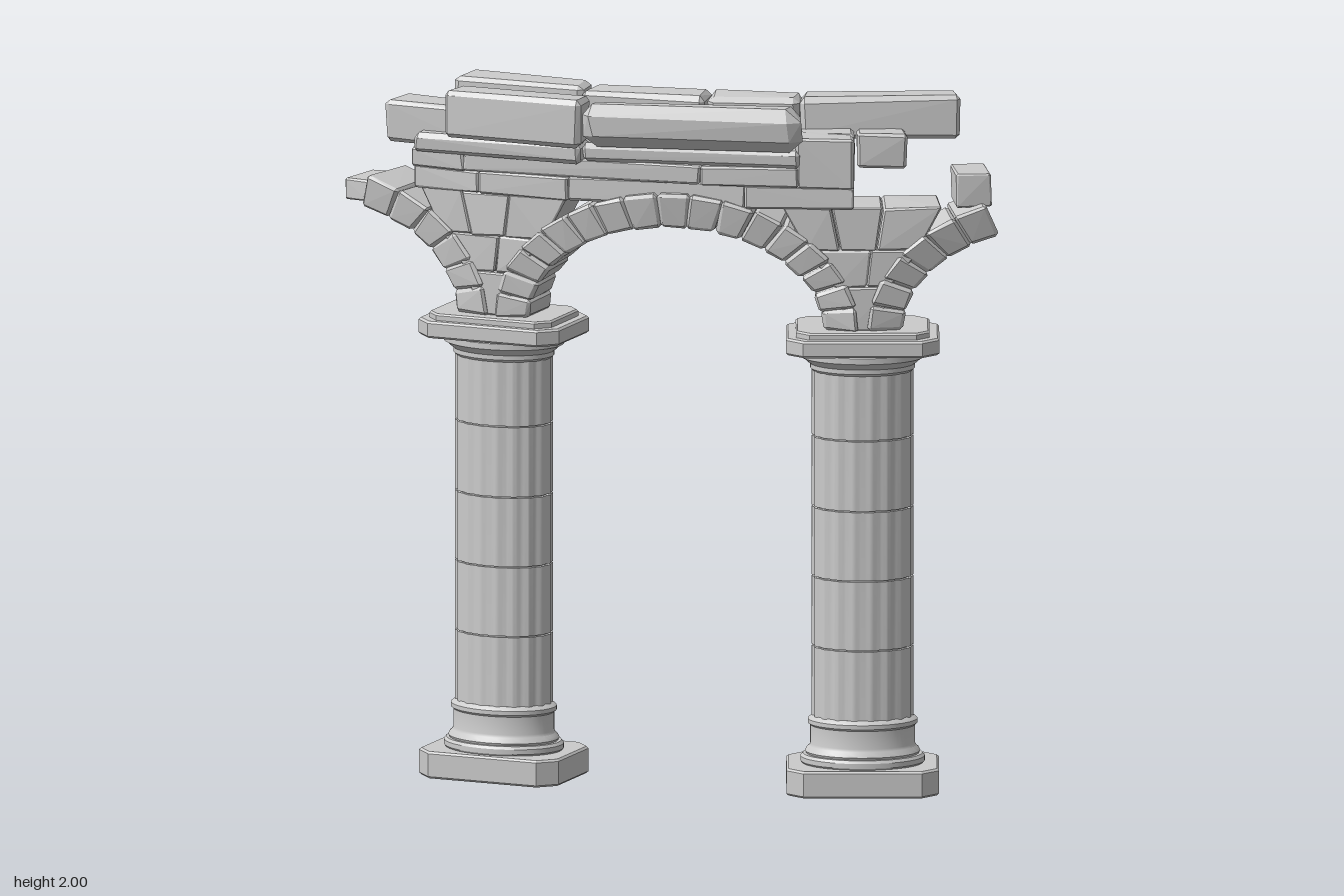
import * as THREE from 'three';
import { toCreasedNormals } from 'three/addons/utils/BufferGeometryUtils.js';
import { ConvexGeometry } from 'three/addons/geometries/ConvexGeometry.js';

const material = new THREE.MeshStandardMaterial({ color: 0xcccccc });
const sharp = new THREE.MeshStandardMaterial({ color: 0xcccccc, flatShading: true });

let seed = 7;
const rand = () => (seed = (seed * 16807) % 2147483647) / 2147483647;
const jitter = (a) => (rand() - 0.5) * 2 * a;

// The ruin follows an arc in plan: s runs along it, d outward to the front
const R = 2.5, PHI0 = 0.446, CX = 1.06, CZ = -2.1;
const angleAt = (s) => PHI0 - s / R;
function onArc(s, y, d) {
  const p = angleAt(s);
  return new THREE.Vector3(CX - Math.sin(p) * (R + d), y, CZ + Math.cos(p) * (R + d));
}

function addGroup(parent, name) {
  const group = new THREE.Group();
  group.name = name;
  parent.add(group);
  return group;
}

function add(parent, name, geometry, mat = material) {
  const mesh = new THREE.Mesh(geometry, mat);
  mesh.name = name;
  parent.add(mesh);
}

// Chamfered stone from 8 corners; index bits are 1 = s, 2 = y, 4 = d
function stone(parent, name, corners, bevel, rough) {
  const c = corners.map(([s, y, d]) =>
    onArc(s + jitter(rough), Math.min(2, y + jitter(rough)), d + jitter(rough)));
  const points = [];
  c.forEach((p, i) => {
    const inset = [1, 2, 4].map((bit) => {
      const e = c[i ^ bit].clone().sub(p);
      return e.setLength(Math.min(bevel * (0.7 + 0.6 * rand()), e.length() * 0.35));
    });
    for (let a = 0; a < 3; a++)
      points.push(p.clone().add(inset[(a + 1) % 3]).add(inset[(a + 2) % 3]));
  });
  add(parent, name, new ConvexGeometry(points), sharp);
}

// Stone with level beds; sA/sB are [bottom, top] ends
function block(parent, name, sA, sB, y0, y1, d0, d1, bevel, rough) {
  const corners = [];
  for (let i = 0; i < 8; i++) {
    const top = (i >> 1) & 1;
    corners.push([(i & 1 ? sB : sA)[top], top ? y1 : y0, i & 4 ? d1 : d0]);
  }
  stone(parent, name, corners, bevel, rough);
}

// Rectangular slab with cut corners
function slab(parent, name, a, b, cut, y0, y1, edge) {
  a -= edge; b -= edge;
  const shape = new THREE.Shape([
    [a, b - cut], [a - cut, b], [cut - a, b], [-a, b - cut],
    [-a, cut - b], [cut - a, -b], [a - cut, -b], [a, cut - b],
  ].map(([x, y]) => new THREE.Vector2(x, y)));
  const g = new THREE.ExtrudeGeometry(shape, {
    depth: y1 - y0 - 2 * edge, bevelThickness: edge, bevelSize: edge, bevelSegments: 1,
  });
  g.rotateX(-Math.PI / 2).translate(0, y0 + edge, 0);
  add(parent, name, g);
}

// Turned moulding, oval in plan
function moulding(parent, name, profile) {
  const g = new THREE.LatheGeometry(profile.map(([r, y]) => new THREE.Vector2(r, y)), 64);
  g.scale(1, 1, 0.76);
  add(parent, name, toCreasedNormals(g, 0.5));
}

// Shallow rounded flutes, drawn as a ripple in the radius
function flutedDrum(parent, y0, y1) {
  const g = new THREE.CylinderGeometry(1, 1, y1 - y0, 144, 1);
  const pos = g.attributes.position;
  for (let i = 0; i < pos.count; i++) {
    const x = pos.getX(i), z = pos.getZ(i);
    const r = 1 - 0.035 * Math.sin(9 * Math.atan2(z, x)) ** 2;
    pos.setXYZ(i, x * r * 0.145, pos.getY(i), z * r * 0.108);
  }
  g.translate(0, (y0 + y1) / 2, 0);
  add(parent, 'shaftDrum', toCreasedNormals(g, 0.7));
}

function column(parent, s, name) {
  const col = addGroup(parent, name);
  col.position.copy(onArc(s, 0, 0));
  col.rotation.y = -angleAt(s);

  slab(col, 'plinth', 0.217, 0.154, 0.045, 0, 0.078, 0.006);
  moulding(col, 'base', [
    [0, 0.075], [0.17, 0.075], [0.177, 0.083], [0.177, 0.097], [0.17, 0.105], [0.16, 0.105],
    [0.164, 0.112], [0.16, 0.12], [0.152, 0.127], [0.149, 0.135], [0.149, 0.187],
    [0.156, 0.193], [0.156, 0.205], [0.149, 0.211], [0.14, 0.216], [0, 0.216],
  ]);
  // Five fluted drums around a recessed core
  const core = new THREE.CylinderGeometry(0.132, 0.132, 1.02, 48).scale(1, 1, 0.745);
  add(col, 'shaftCore', core.translate(0, 0.72, 0));
  const joints = [0.212, 0.418, 0.62, 0.822, 1.027, 1.225];
  for (let i = 0; i < 5; i++) flutedDrum(col, joints[i] + 0.002, joints[i + 1] - 0.002);

  moulding(col, 'capital', [
    [0, 1.215], [0.142, 1.215], [0.149, 1.222], [0.149, 1.235], [0.156, 1.24],
    [0.167, 1.25], [0.177, 1.255], [0.177, 1.272], [0.168, 1.28], [0, 1.28],
  ]);
  slab(col, 'abacus', 0.218, 0.155, 0.045, 1.277, 1.326, 0.006);
  slab(col, 'impostSlab', 0.19, 0.132, 0.035, 1.32, 1.345, 0.005);
}

// Oval arch of wedge stones, narrower at the soffit; angles in degrees
const SPRING = 1.343, HALF = 0.525;
const ring = (t, rx, ry) => [Math.cos(t) * rx, SPRING + Math.sin(t) * ry];
function arch(parent, name, centre, fromDeg, toDeg, count) {
  const group = addGroup(parent, name);
  for (let n = 0; n < count; n++) {
    const t = [0, 1].map((k) =>
      THREE.MathUtils.degToRad(toDeg + ((fromDeg - toDeg) * (n + k)) / count));
    const wobble = jitter(0.004);
    const corners = [];
    for (let i = 0; i < 8; i++) {
      const outer = i & 2;
      const [x, y] = outer ? ring(t[i & 1], 0.515, 0.388) : ring(t[i & 1], 0.415, 0.288);
      const depth = (outer ? 0.102 : 0.082) + wobble;
      corners.push([centre + x, y, i & 4 ? depth : -depth]);
    }
    stone(group, 'archStone', corners, 0.009, 0.003);
  }
}

// Large wall stones filling the space between neighbouring arches
function spandrel(parent, s, name) {
  const group = addGroup(parent, name);
  const half = (y) => HALF - 0.48 * Math.sqrt(Math.max(0, 1 - ((y - SPRING) / 0.365) ** 2));
  const beds = [1.345, 1.47, 1.575, 1.7];
  const joints = [[], [0.15], [-0.4, 0.25]];
  joints.forEach((inner, i) => {
    const w = [Math.min(half(beds[i]), 0.22), Math.min(half(beds[i + 1]), 0.22)];
    const cuts = [-1, ...inner, 1];
    for (let k = 0; k + 1 < cuts.length; k++) {
      const [a, b] = [cuts[k], cuts[k + 1]].map((f) => w.map((v) => s + f * v));
      block(group, 'spandrelStone', a, b, beds[i], beds[i + 1], -0.09, 0.09, 0.005, 0.003);
    }
  });
}

// Run of stones: each entry is [s0, s1, y0, y1, d0, d1]
function course(parent, name, list, bevel, rough) {
  const group = addGroup(parent, name);
  for (const [s0, s1, ...rest] of list)
    block(group, 'wallStone', [s0, s0], [s1, s1], ...rest, bevel, rough);
}

export function createModel() {
  const model = new THREE.Group();
  model.name = 'ruinedArcade';

  [[-HALF, 'rightEnd'], [HALF, 'leftEnd']].forEach(([s, side]) => {
    column(model, s, side + 'Column');
    spandrel(model, s, side + 'Spandrel');
  });

  // One whole arch and two broken neighbours
  arch(model, 'mainArch', 0, 0, 180, 17);
  arch(model, 'rightBrokenArch', -2 * HALF, 0, 74, 6);
  arch(model, 'leftBrokenArch', 2 * HALF, 111, 180, 6);

  // Low courses over the arch
  course(model, 'lowerCourses', [
    [-0.76, -0.56, 1.697, 1.762, -0.1, 0.1], [-0.56, -0.3, 1.697, 1.762, -0.1, 0.1],
    [-0.3, 0.2, 1.697, 1.762, -0.09, 0.09], [0.2, 0.5, 1.697, 1.762, -0.1, 0.1],
    [-0.76, -0.38, 1.76, 1.822, -0.12, -0.01], [-0.38, 0.1, 1.76, 1.822, -0.125, -0.01],
    [0.1, 0.5, 1.76, 1.822, -0.12, -0.01], [-0.76, -0.6, 1.76, 1.818, -0.015, 0.11],
    [-0.6, 0.08, 1.76, 1.818, -0.015, 0.11], [0.08, 0.35, 1.76, 1.818, -0.015, 0.105],
  ], 0.006, 0.003);

  course(model, 'coreCourse', [
    [-0.7, -0.4, 1.82, 1.9, -0.07, 0.03], [-0.4, -0.05, 1.82, 1.88, -0.07, 0.03],
    [-0.05, 0.33, 1.82, 1.88, -0.07, 0.03], [0.33, 0.5, 1.82, 1.9, -0.09, 0.02],
    [0.34, 0.5, 1.755, 1.9, -0.01, 0.1], [0.51, 0.65, 1.8, 1.9, -0.1, 0.02],
  ], 0.008, 0.004);

  // Heavy top stones in two rows
  course(model, 'backTopCourse', [
    [-0.71, -0.305, 1.84, 1.998, -0.165, -0.055], [-0.302, 0.066, 1.83, 1.99, -0.165, -0.045],
    [0.07, 0.34, 1.825, 1.988, -0.16, -0.045], [0.343, 0.81, 1.872, 1.992, -0.165, -0.055],
  ], 0.015, 0.005);
  course(model, 'frontTopCourse', [
    [-0.85, -0.54, 1.822, 1.94, -0.02, 0.1], [-0.635, -0.245, 1.862, 1.998, 0.055, 0.16],
    [-0.74, -0.25, 1.812, 1.868, 0.02, 0.135], [-0.25, 0.35, 1.812, 1.87, 0.02, 0.115],
  ], 0.013, 0.005);
  course(model, 'frontWornStone', [[-0.242, 0.36, 1.862, 1.992, 0.055, 0.165]], 0.035, 0.012);

  // Loose stones by the broken ends
  course(model, 'looseStones', [
    [0.785, 0.885, 1.69, 1.79, -0.09, 0.055], [0.58, 0.67, 1.64, 1.695, -0.085, 0.07],
    [-1.0, -0.92, 1.632, 1.695, -0.07, 0.068],
  ], 0.005, 0.003);

  return model;
}
